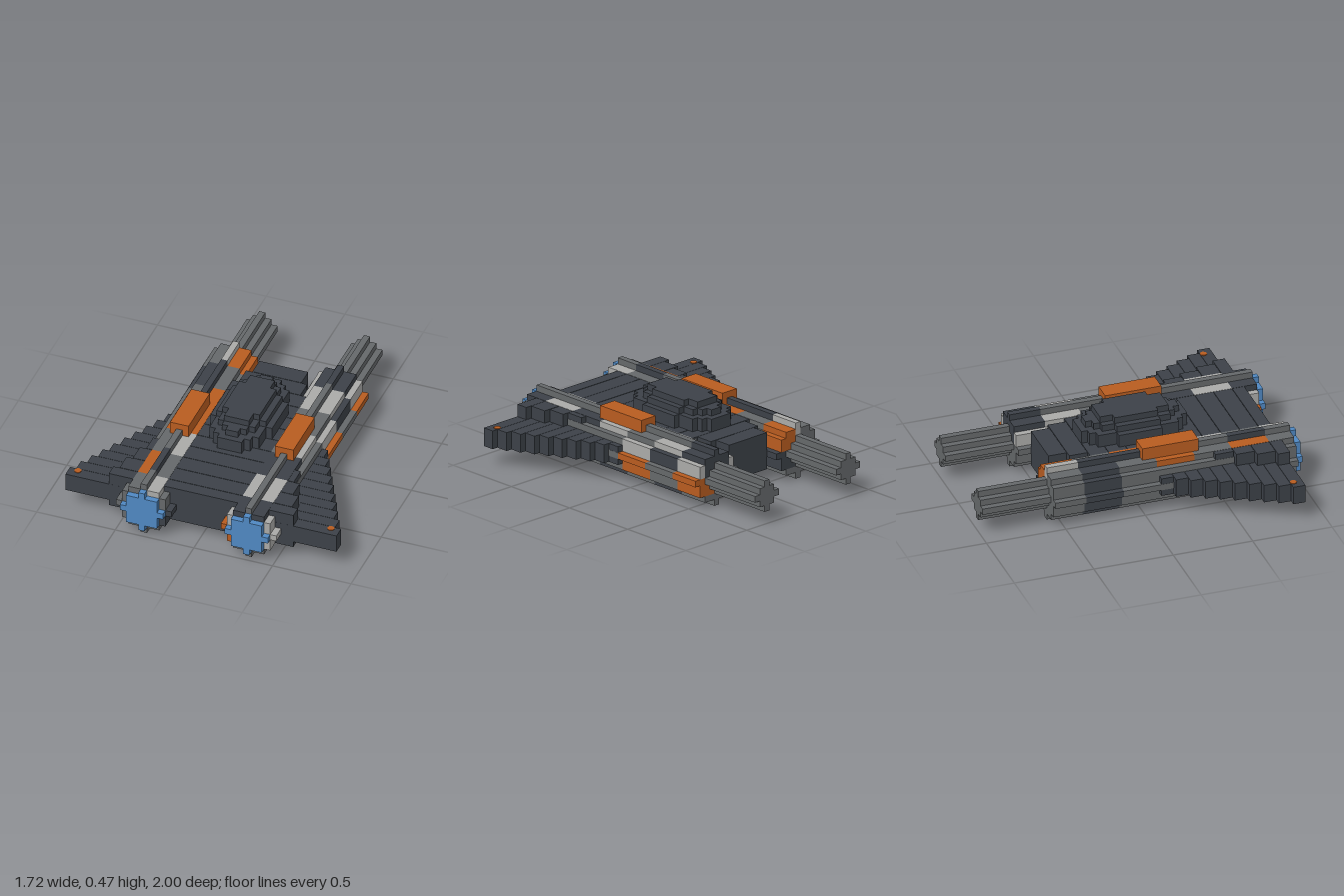
import * as THREE from 'three';
import { mergeGeometries } from 'three/addons/utils/BufferGeometryUtils.js';

const U = 2 / 51; // one block
const mat = (name, hex) => {
  const m = new THREE.MeshStandardMaterial({ color: hex });
  m.name = name;
  return m;
};

// Box from block bounds; z is counted from the rear end, gap shrinks it slightly
function block(x0, x1, y0, y1, k0, k1, gap = 0) {
  const g = new THREE.BoxGeometry(
    Math.abs(x1 - x0) * U - gap, (y1 - y0) * U - gap, (k1 - k0) * U - gap);
  return g.translate((x0 + x1) / 2 * U, (y0 + y1) / 2 * U, -1 + (k0 + k1) / 2 * U);
}

// Stepped round bar of the given block radius
function bar(cx, cy, r, k0, k1) {
  const parts = [];
  for (let dy = -r; dy <= r; dy++) {
    const h = Math.floor(Math.sqrt(r * r - dy * dy)) + 0.5;
    parts.push(block(cx - h, cx + h, cy + dy - 0.5, cy + dy + 0.5, k0, k1));
  }
  return parts;
}

// Facets of an engine pod: [outward from, to, up from, to] around its centre
const FACETS = [
  [[-0.5, 0.5, 0, 4.5]],                            // top ridge
  [[0.5, 2.5, 0.5, 3.5]],                           // upper outer
  [[-2.5, -0.5, 0.5, 3.5]],                         // upper inner
  [[2.5, 3.5, 0.5, 2.5]],                           // shoulder outer
  [[-3.5, -2.5, 0.5, 2.5]],                         // shoulder inner
  [[0.5, 3.5, -2.5, 0.5], [3.5, 4.5, -0.5, 0.5]],   // side outer
  [[-3.5, -0.5, -2.5, 0.5], [-4.5, -3.5, -0.5, 0.5]], // side inner
  [[0.5, 2.5, -3.5, -2.5]],                         // lower outer
  [[-2.5, -0.5, -3.5, -2.5]],                       // lower inner
  [[-0.5, 0.5, -4.5, 0]],                           // bottom ridge
];
const BANDS = [11, 16, 22, 28, 34, 40, 46, 50];
// One word per band from the rear, one letter per facet
const PANELS = {
  1: ['dddllogggg', 'glldlggdgg', 'gggllooggg', 'glggggoddg', 'gddggldggl', 'gllddddddg', 'gddllloggg'],
  '-1': ['lgoggodggg'.replace('lgoggo', 'lgogog'), 'ddgdgdgddg', 'dgogggoggl', 'googggggdg', 'gglggggglg', 'dogddddddg', 'gglgggdggg'],
};

export function createModel() {
  const model = new THREE.Group();
  model.name = 'spacecraft';
  const dark = mat('dark hull', 0x3c4148);
  const grey = mat('grey metal', 0x65686a);
  const light = mat('light panel', 0xaaaaa8);
  const orange = mat('orange panel', 0xb85c20);
  const blue = mat('blue glow', 0x4f88c2);
  const byLetter = { d: dark, g: grey, l: light, o: orange };
  const add = (name, geos, material, parent = model) => {
    const mesh = new THREE.Mesh(mergeGeometries(geos), material);
    mesh.name = name;
    parent.add(mesh);
  };

  // Hull: widens one block every three towards the front
  const hull = [];
  for (let i = 0; i < 35; i += 3) {
    const h = 4 + i / 3;
    hull.push(block(-h, h, 2, 8, 13 + i, Math.min(16 + i, 48), 0.003));
  }
  add('hull', hull, dark);

  // Canopy: stepped elliptical layers [half width, half length, bottom, top]
  const canopy = [];
  for (const [a, b, y0, y1] of [[5, 8.5, 7.9, 10], [4, 7.5, 10, 11], [3.3, 6, 11, 12]]) {
    for (let dz = -8; dz <= 8; dz++) {
      if (Math.abs(dz) >= b) continue;
      const h = Math.floor(a * Math.sqrt(1 - (dz / b) ** 2) + 0.5);
      if (h > 0) canopy.push(block(-h, h, y0, y1, 27 + dz, 28 + dz));
    }
  }
  add('canopy', canopy, dark);

  for (const s of [1, -1]) {
    const side = s > 0 ? 'left' : 'right';
    const cx = s * 8.5, cy = 4.5;

    // Wing: stepped leading edge
    const wing = [];
    for (let i = 0; i < 11; i++) {
      wing.push(block(s * 6, s * (22 - i), 3, 6, 46 - 2 * i, 48 - 2 * i, 0.002));
    }
    add(side + 'Wing', wing, dark);

    // Wing tip lamp
    const lamp = new THREE.CylinderGeometry(0.022, 0.022, 0.006, 8);
    lamp.translate(s * 0.805, 6 * U, 0.824);
    add(side + 'WingLamp', [lamp], orange);

    // Engine pod: panels collected by colour
    const pod = new THREE.Group();
    pod.name = side + 'EnginePod';
    const sets = { d: [], g: [], l: [], o: [] };
    PANELS[s].forEach((word, b) => FACETS.forEach((boxes, f) => {
      for (const [x0, x1, y0, y1] of boxes) {
        sets[word[f]].push(block(cx + s * x0, cx + s * x1, cy + y0, cy + y1, BANDS[b], BANDS[b + 1]));
      }
    }));
    for (const key in sets) {
      if (sets[key].length) add(byLetter[key].name + ' pod plating', sets[key], byLetter[key], pod);
    }
    add('podGlow', bar(cx, cy, 3, 50, 51), blue, pod);
    add('rearBarrel', bar(cx, cy, 2, 0, 11), grey, pod);
    model.add(pod);

    // Block on top of the pod
    add(side + 'TopBlock', [block(s * 7, s * 10, 8, 10, 26, 35)], orange);
  }
  return model;
}
